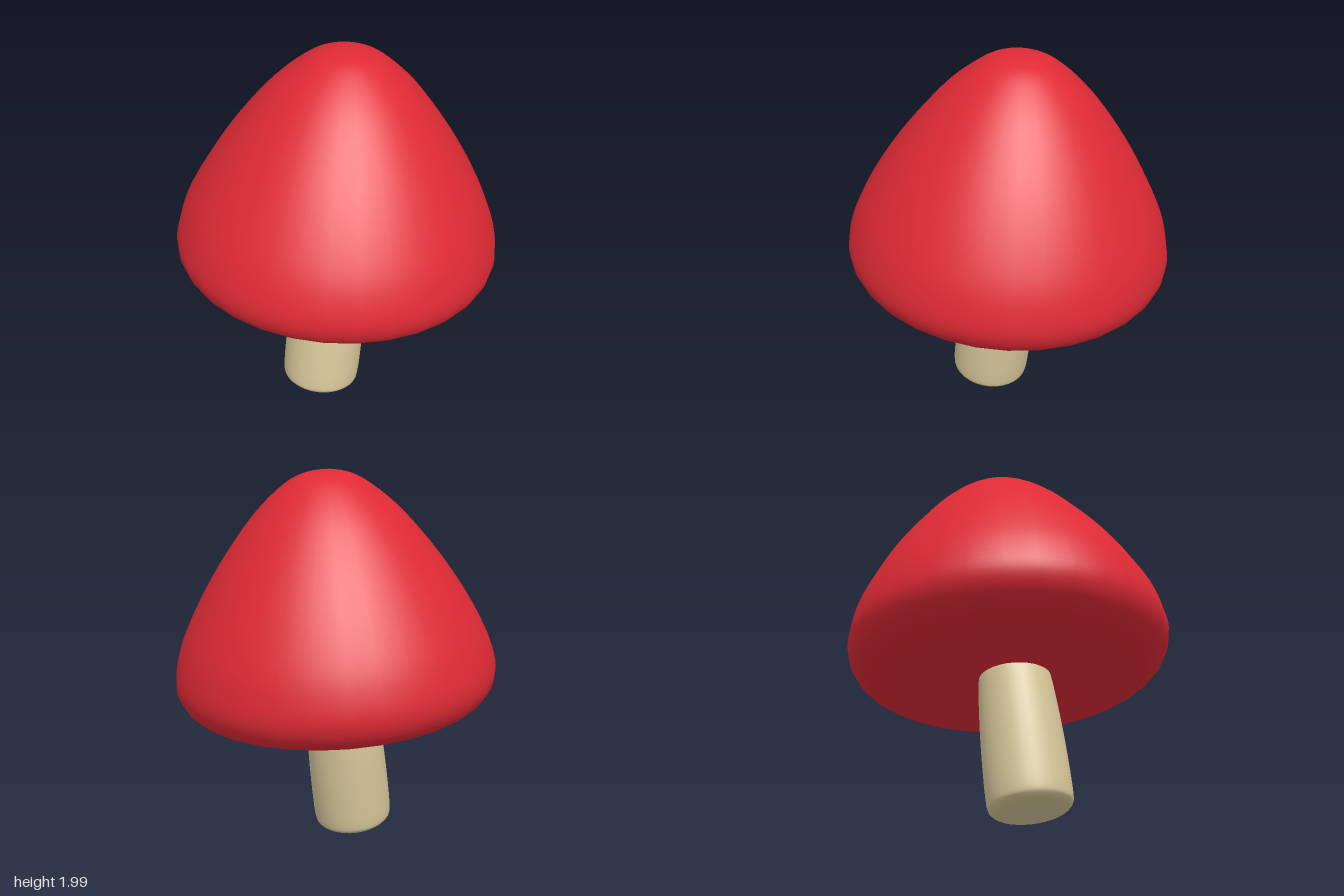
import * as THREE from 'three';

// Smooth lathe from a few profile points, listed from the bottom up
function turned(name, points, steps, color) {
  const curve = new THREE.SplineCurve(points.map(([r, y]) => new THREE.Vector2(r, y)));
  const profile = curve.getPoints(steps);
  profile.forEach((p) => { p.x = Math.max(p.x, 0); });
  const mesh = new THREE.Mesh(
    new THREE.LatheGeometry(profile, 32),
    new THREE.MeshStandardMaterial({ color })
  );
  mesh.name = name;
  return mesh;
}

export function createModel() {
  const model = new THREE.Group();
  model.name = 'mushroom';

  // Domed cap with a flat underside and rounded rim, origin at its widest ring
  const cap = turned('cap', [
    [0, -0.175], [0.3, -0.175], [0.62, -0.172], [0.74, -0.15], [0.815, -0.095],
    [0.85, 0], [0.83, 0.125], [0.775, 0.27], [0.665, 0.47], [0.53, 0.67],
    [0.365, 0.87], [0.2, 1.01], [0.09, 1.057], [0, 1.067],
  ], 52, 0xdf2a35);
  cap.position.set(0, 0.935, 0);
  cap.rotation.x = THREE.MathUtils.degToRad(-5);
  model.add(cap);

  // Leaning stem with rounded ends, origin at the centre of its foot
  const stem = turned('stem', [
    [0, 0], [0.09, 0], [0.165, 0.004], [0.2, 0.022], [0.213, 0.06],
    [0.215, 0.2], [0.211, 0.4], [0.202, 0.58], [0.193, 0.7],
    [0.183, 0.76], [0.15, 0.785], [0.07, 0.79], [0, 0.79],
  ], 48, 0xd8c89b);
  stem.position.set(0, 0.032, 0.158);
  stem.rotation.x = THREE.MathUtils.degToRad(-9);
  model.add(stem);

  return model;
}
